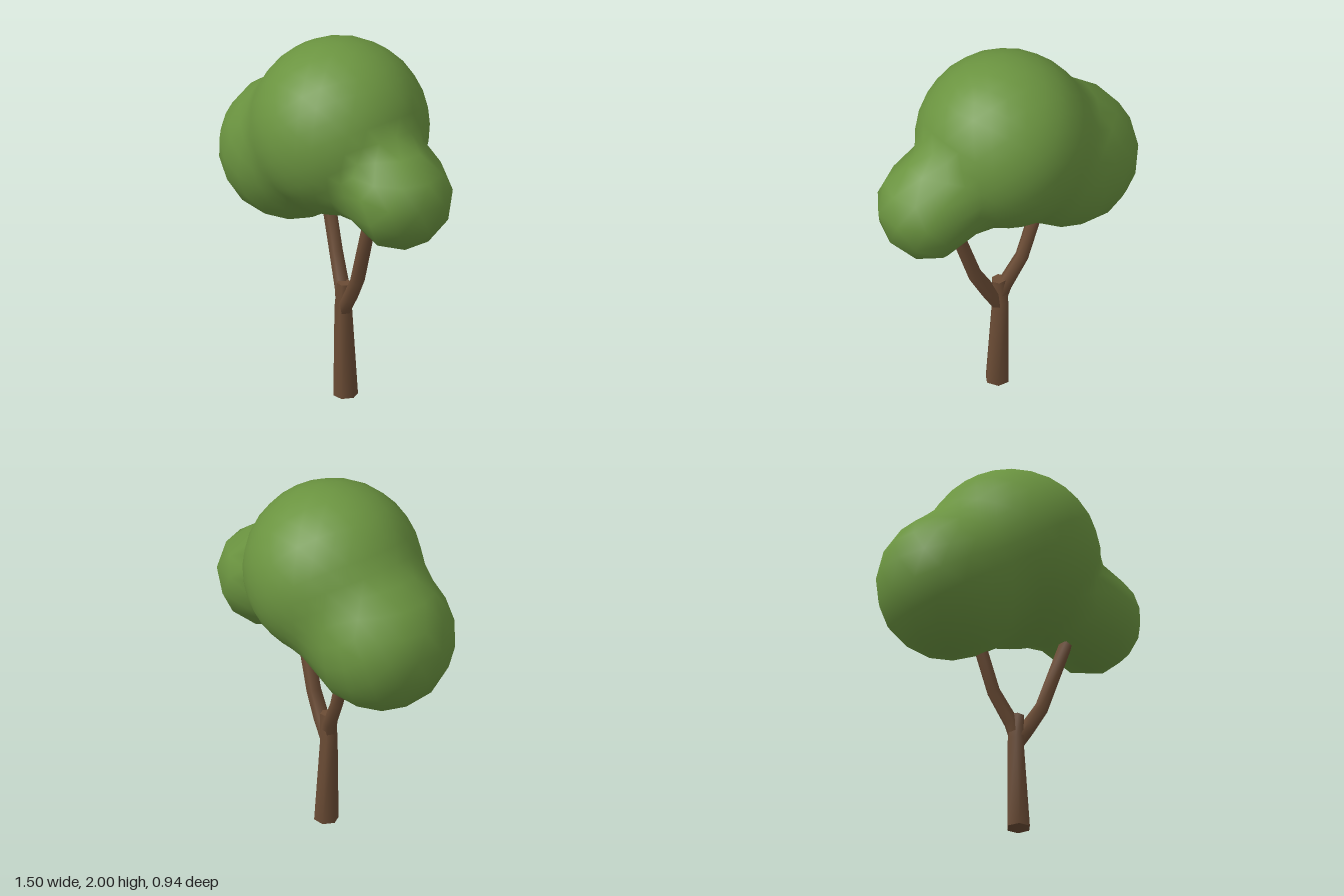
import * as THREE from 'three';
import { mergeVertices } from 'three/addons/utils/BufferGeometryUtils.js';

const bark = new THREE.MeshStandardMaterial({ color: 0x6b4c35 });
const leaf = new THREE.MeshStandardMaterial({ color: 0x6b9440 });

// Six-sided tapering limb through stations [x, y, z, radius], capped at both ends
function limb(name, stations, sides = 6) {
  const pts = stations.map(([x, y, z]) => new THREE.Vector3(x, y, z));
  const pos = [], index = [], rings = [];
  pts.forEach((p, j) => {
    const before = pts[Math.max(j - 1, 0)], after = pts[Math.min(j + 1, pts.length - 1)];
    const t = after.clone().sub(before).normalize();
    const u = new THREE.Vector3(1, 0, 0).addScaledVector(t, -t.x).normalize();
    const w = u.clone().cross(t);
    const ring = [];
    for (let i = 0; i < sides; i++) {
      const a = (i / sides) * Math.PI * 2, r = stations[j][3];
      const v = p.clone().addScaledVector(u, r * Math.cos(a)).addScaledVector(w, r * Math.sin(a));
      ring.push([v.x, Math.max(v.y, 0), v.z]);
    }
    rings.push(ring);
    pos.push(...ring.flat());
  });
  for (let j = 0; j < pts.length - 1; j++) {
    for (let i = 0; i < sides; i++) {
      const a = j * sides + i, b = j * sides + (i + 1) % sides;
      index.push(a, a + sides, b, b, a + sides, b + sides);
    }
  }
  // Caps have their own vertices so the rims stay sharp
  [0, pts.length - 1].forEach((j) => {
    const first = pos.length / 3;
    pos.push(...rings[j].flat());
    for (let i = 1; i < sides - 1; i++) {
      if (j === 0) index.push(first, first + i, first + i + 1);
      else index.push(first, first + i + 1, first + i);
    }
  });
  const geo = new THREE.BufferGeometry();
  geo.setAttribute('position', new THREE.Float32BufferAttribute(pos, 3));
  geo.setIndex(index);
  geo.computeVertexNormals();
  const mesh = new THREE.Mesh(geo, bark);
  mesh.name = name;
  return mesh;
}

// Crown: three round lobes blended into one skin
const lobes = [
  { centre: new THREE.Vector3(0, 1.53, 0), radius: 0.47, blend: 0 },
  { centre: new THREE.Vector3(-0.375, 1.28, 0), radius: 0.39, blend: 0.12 },
  { centre: new THREE.Vector3(0.48, 1.295, 0), radius: 0.283, blend: 0.06 },
];

function crownDistance(p) {
  let d = Infinity;
  for (const { centre, radius, blend } of lobes) {
    const e = p.distanceTo(centre) - radius;
    const h = blend ? Math.max(blend - Math.abs(d - e), 0) / blend : 0;
    d = Math.min(d, e) - (h * h * blend) / 4;
  }
  return d;
}

function crown() {
  let geo = new THREE.IcosahedronGeometry(1, 5);
  geo.deleteAttribute('normal');
  geo.deleteAttribute('uv');
  geo = mergeVertices(geo, 1e-4);
  const pos = geo.attributes.position;
  const heart = new THREE.Vector3(0, 1.45, 0);
  const dir = new THREE.Vector3(), p = new THREE.Vector3();
  for (let i = 0; i < pos.count; i++) {
    dir.fromBufferAttribute(pos, i).normalize();
    // Shrink each ray inward until it meets the blended lobes
    let r = 1.2;
    for (let step = 0; step < 200; step++) {
      const d = crownDistance(p.copy(heart).addScaledVector(dir, r));
      if (d < 0.0005) break;
      r -= d;
    }
    pos.setXYZ(i, p.x, p.y, p.z);
  }
  geo.computeVertexNormals();
  const mesh = new THREE.Mesh(geo, leaf);
  mesh.name = 'crown';
  return mesh;
}

export function createModel() {
  const tree = new THREE.Group();
  tree.name = 'tree';
  tree.add(
    limb('trunk', [[0.05, 0, 0, 0.065], [0.03, 0.5, 0, 0.046], [0.04, 0.64, 0, 0.04]]),
    limb('leftBranch', [[0.035, 0.48, 0, 0.04], [0.1, 0.585, 0.01, 0.042],
      [0.175, 0.71, 0.025, 0.039], [0.315, 1.12, 0.055, 0.037]]),
    limb('rightBranch', [[0.03, 0.53, 0, 0.04], [0.01, 0.6, -0.01, 0.04],
      [-0.078, 0.765, -0.042, 0.036], [-0.148, 0.99, -0.055, 0.036]]),
    crown(),
  );
  return tree;
}
